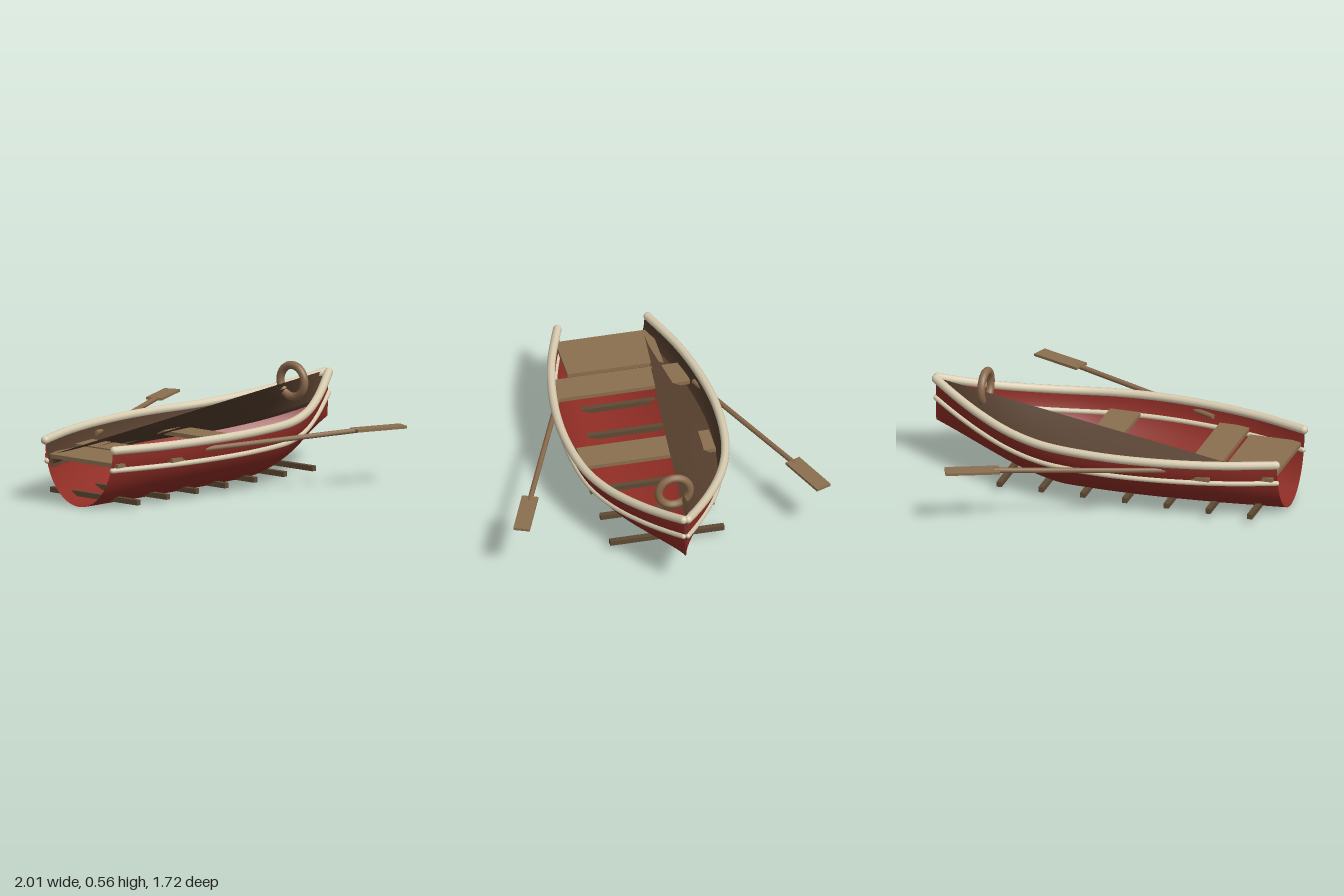
import * as THREE from 'three';

const mat = (name, color, side = THREE.FrontSide) => {
  const m = new THREE.MeshStandardMaterial({ color, side });
  m.name = name;
  return m;
};

// Hull lines: sheer height, keel height and half width along x
const rise = x => Math.max(0, (x - 0.2) / 0.78);
const sheer = x => 0.33 + 0.14 * rise(x) ** 2;
const keel = x => 0.23 * rise(x) ** 1.4;
const plan = new THREE.SplineCurve([
  [-0.99, 0.24], [-0.7, 0.34], [-0.4, 0.4], [-0.1, 0.42], [0.2, 0.39], [0.45, 0.31], [0.7, 0.18], [0.98, 0.008],
].map(p => new THREE.Vector2(...p)));
const planPoints = plan.getPoints(140);
const halfWidth = x => {
  const i = planPoints.findIndex(p => p.x >= x);
  if (i < 0) return 0.008;
  if (i === 0) return planPoints[0].y;
  const a = planPoints[i - 1], b = planPoints[i];
  return a.y + (b.y - a.y) * (x - a.x) / (b.x - a.x);
};
// Half width of the elliptical section at height y
const widthAt = (x, y) => {
  const c = THREE.MathUtils.clamp(1 - (y - keel(x)) / (sheer(x) - keel(x)), 0, 1);
  return halfWidth(x) * Math.sqrt(1 - c * c);
};

// Open surface from a grid of points, f(u, v) -> [x, y, z]
function sheet(f, nu, nv) {
  const pos = [], idx = [];
  for (let i = 0; i <= nu; i++) {
    for (let j = 0; j <= nv; j++) {
      pos.push(...f(i / nu, j / nv));
      if (i < nu && j < nv) {
        const a = i * (nv + 1) + j, b = a + nv + 1;
        idx.push(a, a + 1, b, b, a + 1, b + 1);
      }
    }
  }
  const g = new THREE.BufferGeometry();
  g.setAttribute('position', new THREE.Float32BufferAttribute(pos, 3));
  g.setIndex(idx);
  g.computeVertexNormals();
  return g;
}

export function createModel() {
  const model = new THREE.Group();
  model.name = 'rowboat';
  const red = mat('hull red', 0x8f2d25, THREE.DoubleSide);
  const cream = mat('rail cream', 0xd8ccb0);
  const wood = mat('seat wood', 0x8b7050);
  const dark = mat('rib wood', 0x5f4a34);
  const lining = mat('planking brown', 0x553e2d, THREE.DoubleSide);
  const oarWood = mat('oar wood', 0x8a6a4c);

  const add = (name, geometry, material, parent = model) => {
    const m = new THREE.Mesh(geometry, material);
    m.name = name;
    parent.add(m);
    return m;
  };

  // Hull shell, open at the stern
  add('hull', sheet((u, v) => {
    const x = -0.99 + 1.97 * u, a = (v * 2 - 1) * Math.PI / 2;
    return [x, keel(x) + (sheer(x) - keel(x)) * (1 - Math.cos(a)), halfWidth(x) * Math.sin(a)];
  }, 60, 36), red);

  // Gunwales and rubbing strakes on both sides
  for (const s of [1, -1]) {
    for (const [name, drop, r] of [['gunwale', 0, 0.023], ['rubbingStrake', 0.11, 0.014]]) {
      const pts = [];
      for (let i = 0; i <= 24; i++) {
        const x = -0.985 + 1.963 * i / 24, y = sheer(x) - drop;
        pts.push(new THREE.Vector3(x, y, s * (widthAt(x, y) + 0.004)));
      }
      add(name, new THREE.TubeGeometry(new THREE.CatmullRomCurve3(pts), 64, r, 10), cream);
      for (const p of [pts[0], pts[24]]) {
        add(name + 'End', new THREE.SphereGeometry(r, 10, 8), cream).position.copy(p);
      }
    }
  }

  // Inner planking on the far side: down the hull, then up to a straight edge
  for (let k = 0; k < 3; k++) {
    add('innerPlanking', sheet((u, v) => {
      const x = -0.985 + 1.955 * u;
      const top = sheer(x) - 0.015, low = sheer(x) - 0.12 - 0.012 * k;
      if (v <= 0.5) {
        const y = top + (low - top) * v * 2;
        return [x, y, -Math.max(0.004, widthAt(x, y) - 0.008 - 0.003 * k)];
      }
      const t = v * 2 - 1, z0 = -Math.max(0.004, widthAt(x, low) - 0.008 - 0.003 * k);
      const edgeY = 0.25 + 0.225 * u - 0.033 * k, edgeZ = -0.22 + 0.21 * u;
      return [x, low + (edgeY - low) * t, z0 + (edgeZ - z0) * t];
    }, 50, 8), lining);
  }

  // Seats
  for (const [name, x0, x1, half] of [
    ['sternSeat', -0.97, -0.68, 0.26], ['rearSeat', -0.65, -0.48, 0.36], ['middleSeat', -0.04, 0.13, 0.36],
  ]) {
    add(name, new THREE.BoxGeometry(x1 - x0, 0.022, half * 2), wood).position.set((x0 + x1) / 2, 0.245, 0);
  }

  // Straight floor ribs
  for (let i = 0; i < 7; i++) {
    add('rib', new THREE.BoxGeometry(0.028, 0.028, 0.62), dark).position.set(-0.86 + 0.232 * i, 0.043, 0);
  }

  // Ring near the bow
  const ring = add('bowRing', new THREE.TorusGeometry(0.085, 0.022, 12, 32), oarWood);
  ring.rotation.y = Math.PI / 2;
  ring.position.set(0.705, 0.455, 0);

  // Oars
  for (const s of [1, -1]) {
    const oar = new THREE.Group();
    oar.name = s > 0 ? 'frontOar' : 'backOar';
    const a = new THREE.Vector3(-0.44, 0.28, s * 0.37), b = new THREE.Vector3(0.43, 0.312, s * 0.722);
    const shaft = add('shaft', new THREE.CylinderGeometry(0.014, 0.014, a.distanceTo(b), 10), oarWood, oar);
    shaft.position.copy(a).lerp(b, 0.5);
    shaft.quaternion.setFromUnitVectors(new THREE.Vector3(0, 1, 0), b.clone().sub(a).normalize());
    const blade = add('blade', new THREE.BoxGeometry(0.29, 0.014, 0.088), wood, oar);
    blade.position.set(0.535, 0.314, s * 0.767);
    blade.rotation.y = -s * 0.385;
    model.add(oar);
  }
  return model;
}
